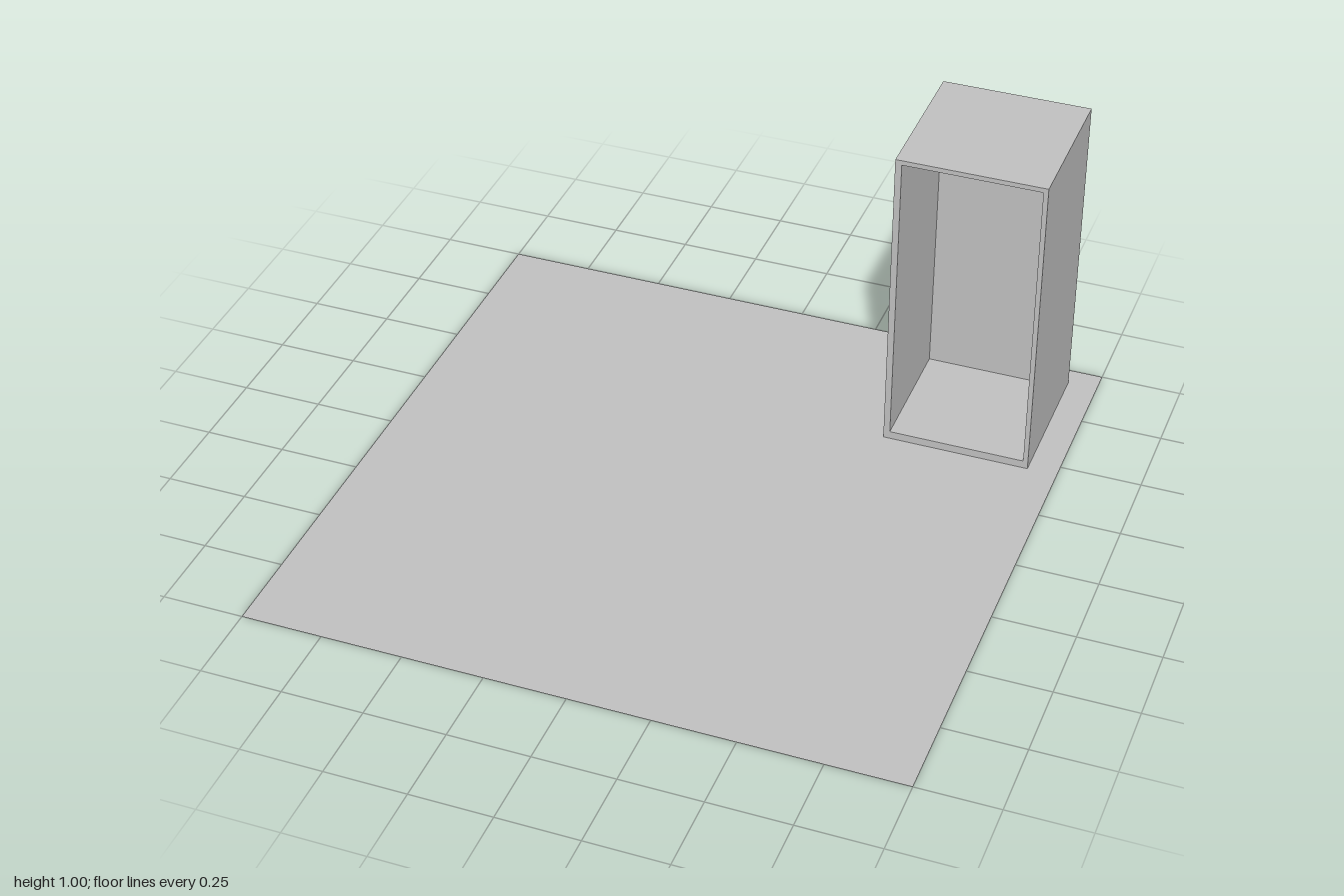
import * as THREE from 'three';

// Counter-clockwise rectangle corners, for outlines and holes
function rectPoints(x0, y0, x1, y1) {
  return [[x0, y0], [x1, y0], [x1, y1], [x0, y1]].map(([x, y]) => new THREE.Vector2(x, y));
}

export function createModel() {
  const model = new THREE.Group();
  const grey = new THREE.MeshStandardMaterial({ color: 0xc0c0c0 });
  grey.name = 'grey';
  grey.side = THREE.DoubleSide;

  // Flat square floor
  const floor = new THREE.Mesh(new THREE.PlaneGeometry(2, 2).rotateX(-Math.PI / 2), grey);
  floor.name = 'floor';
  model.add(floor);

  // Open-fronted cabinet in the back left corner
  const left = 0.45, right = 0.908, height = 1;
  const back = -0.935, inner = -0.87, front = -0.458;
  const cabinet = new THREE.Group();
  cabinet.name = 'cabinet';
  model.add(cabinet);

  // Side walls, base and top as one hollow frame
  const outline = new THREE.Shape(rectPoints(left, 0, right, height));
  outline.holes.push(new THREE.Path(rectPoints(0.47, 0.025, 0.893, 0.985)));
  const frame = new THREE.Mesh(
    new THREE.ExtrudeGeometry(outline, { depth: front - inner, bevelEnabled: false }), grey);
  frame.name = 'cabinetFrame';
  frame.position.z = inner;
  cabinet.add(frame);

  // Thick back wall
  const backWall = new THREE.Mesh(new THREE.BoxGeometry(right - left, height, inner - back), grey);
  backWall.name = 'cabinetBack';
  backWall.position.set((left + right) / 2, height / 2, (inner + back) / 2);
  cabinet.add(backWall);

  return model;
}
